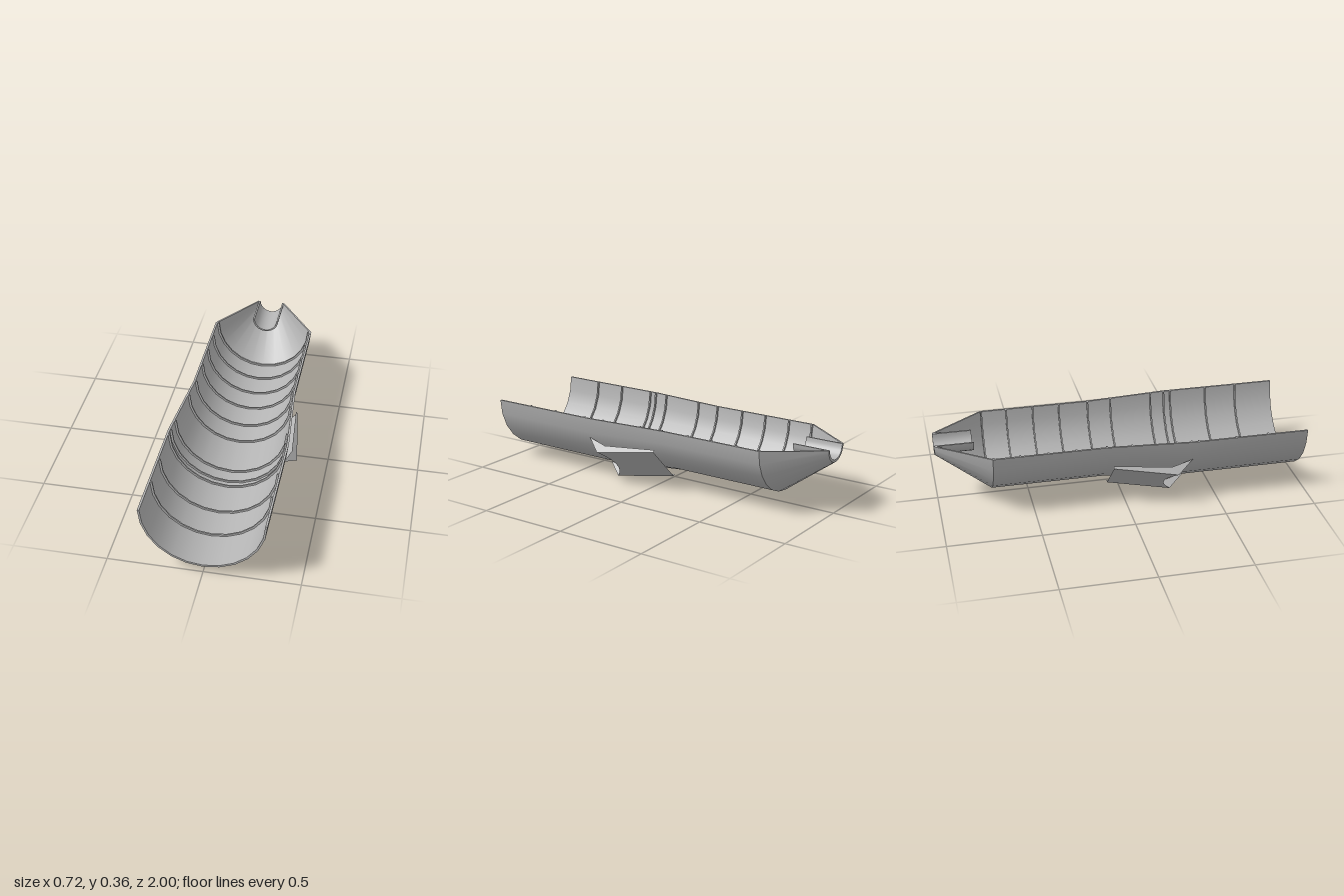
import * as THREE from 'three';
import { toCreasedNormals } from 'three/addons/utils/BufferGeometryUtils.js';

const AXIS_Y = 0.361;
const V = (x, y) => new THREE.Vector2(x, y);

export function createModel() {
  const model = new THREE.Group();
  const grey = new THREE.MeshStandardMaterial({ color: 0xb4b4b4, side: THREE.DoubleSide });
  grey.name = 'hull grey';

  function add(parent, name, geometry) {
    const mesh = new THREE.Mesh(geometry, grey);
    mesh.name = name;
    parent.add(mesh);
    return mesh;
  }

  // Sweeps a closed (radius, z) profile through the lower half circle and caps both cut ends
  function halfTurn(name, profile) {
    const group = new THREE.Group();
    group.name = name;
    const sweep = new THREE.LatheGeometry([...profile, profile[0]], 12, -Math.PI / 2, Math.PI);
    sweep.rotateX(Math.PI / 2);
    add(group, name + 'Wall', toCreasedNormals(sweep, 0.4));
    for (const turn of [0, Math.PI]) {
      const cap = new THREE.ShapeGeometry(new THREE.Shape(profile));
      cap.rotateX(Math.PI / 2).rotateZ(turn);
      add(group, name + 'Edge', cap);
    }
    group.position.y = AXIS_Y;
    model.add(group);
  }

  // Half hull: cone, narrow body, taper and wide body
  const outer = [V(0.08, -1), V(0.288, -0.715), V(0.288, -0.105), V(0.325, 0.35), V(0.325, 1)];
  const wall = 0.011;
  const inner = outer.map((p) => V(p.x - wall, p.y)).reverse();
  halfTurn('hull', [...outer, ...inner]);

  // Thin ribs inside the hull
  const radiusAt = (z) => THREE.MathUtils.mapLinear(
    THREE.MathUtils.clamp(z, -0.105, 0.35), -0.105, 0.35, 0.288, 0.325) - wall;
  for (const z of [0.78, 0.6, 0.39, 0.35, 0.27, 0.03, -0.105, -0.27, -0.42, -0.57, -0.71]) {
    const r = radiusAt(z) + 0.002, d = 0.004;
    halfTurn('rib', [V(r, z - d), V(r, z + d), V(r - 0.013, z + d), V(r - 0.013, z - d)]);
  }

  // Small half tube in the nose
  halfTurn('noseTube', [V(0.076, -1), V(0.076, -0.79), V(0.067, -0.79), V(0.067, -1)]);

  // Maps a flat shape into place by a rule
  function sheet(shape, rule) {
    const geo = new THREE.ShapeGeometry(shape, 10);
    const pos = geo.attributes.position;
    for (let i = 0; i < pos.count; i++) pos.setXYZ(i, ...rule(pos.getX(i), pos.getY(i)));
    geo.computeVertexNormals();
    return geo;
  }

  // Sloping scoops, one on each lower side
  const half = 0.134, back = -0.075, front = 0.27, rBack = 0.303, rFront = 0.375;
  for (const side of [1, -1]) {
    const scoop = new THREE.Group();
    scoop.name = side > 0 ? 'leftScoop' : 'rightScoop';

    // Face plate with a hollowed front edge
    const plate = new THREE.Shape();
    plate.moveTo(-half, back);
    plate.lineTo(half, back);
    plate.lineTo(half, front);
    plate.quadraticCurveTo(0, 0.16, -half, front);
    plate.closePath();
    add(scoop, 'scoopPlate', sheet(plate,
      (t, z) => [t, -THREE.MathUtils.mapLinear(z, back, front, rBack, rFront), z]));

    // Bent side strips reaching forward to the hull
    const strip = new THREE.Shape([
      V(back, rBack), V(front, rFront), V(0.36, 0.296), V(0.24, 0.327), V(back, 0.289),
    ]);
    for (const x of [-half, half]) add(scoop, 'scoopSide', sheet(strip, (z, r) => [x, -r, z]));

    scoop.rotation.z = side * Math.PI / 4;
    scoop.position.y = AXIS_Y;
    model.add(scoop);
  }
  return model;
}
